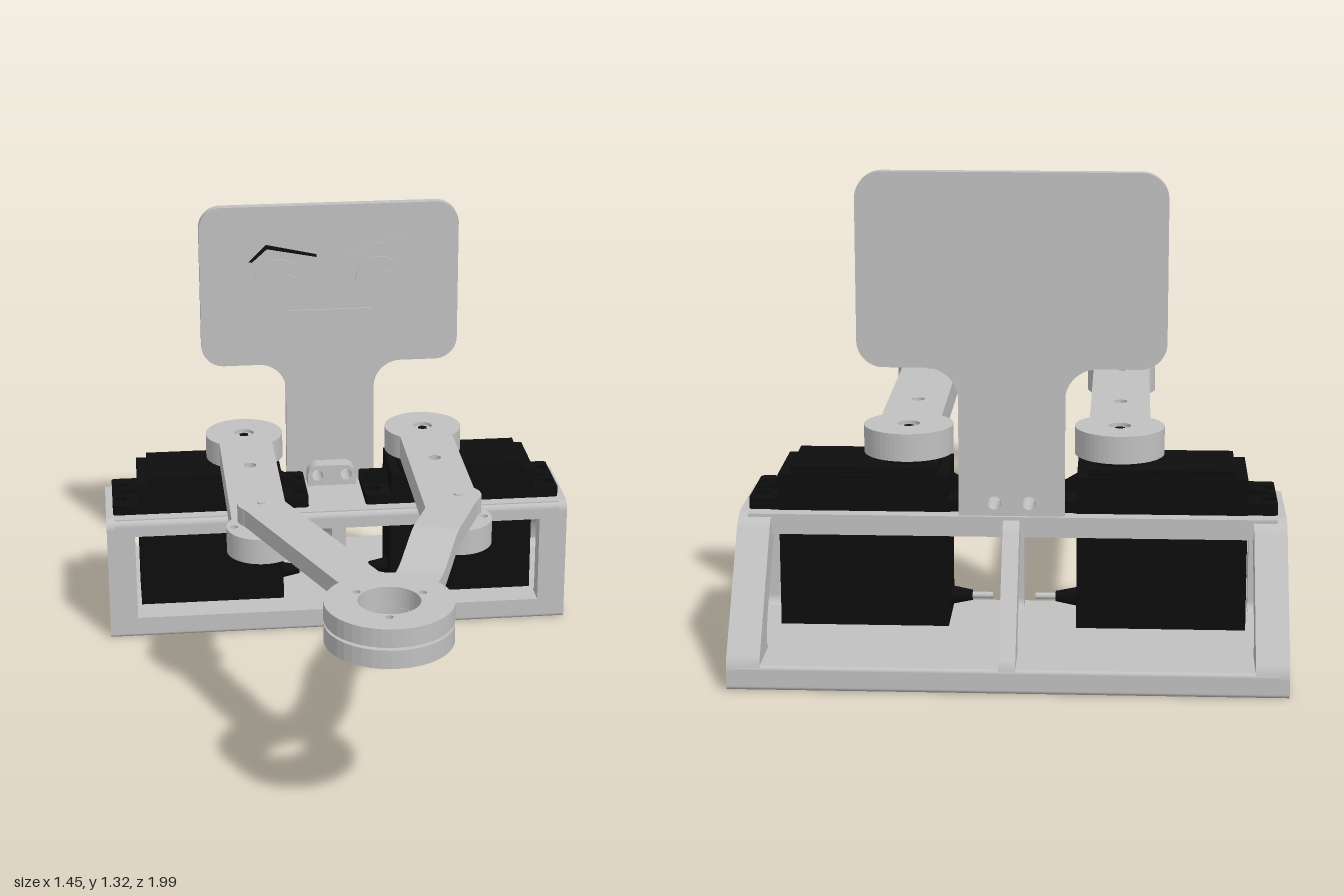
import * as THREE from 'three';

const gray = new THREE.MeshStandardMaterial({ color: 0xc0c0c0 });
gray.name = 'light gray plastic';
const black = new THREE.MeshStandardMaterial({ color: 0x0d0d0d });
black.name = 'black plastic';

function add(parent, name, geo, mat, x = 0, y = 0, z = 0) {
  const m = new THREE.Mesh(geo, mat);
  m.name = name;
  m.position.set(x, y, z);
  parent.add(m);
  return m;
}

function box(parent, name, mat, x0, x1, y0, y1, z0, z1) {
  return add(parent, name, new THREE.BoxGeometry(x1 - x0, y1 - y0, z1 - z0), mat,
    (x0 + x1) / 2, (y0 + y1) / 2, (z0 + z1) / 2);
}

// Closed outline from [x, y, cornerRadius] points
function outline(pts, PathType = THREE.Shape) {
  const path = new PathType();
  const v = pts.map(p => new THREE.Vector2(p[0], p[1]));
  pts.forEach((p, i) => {
    const r = p[2] || 0;
    const toward = q => v[i].clone().add(q.clone().sub(v[i]).setLength(r));
    const a = toward(v[(i + v.length - 1) % v.length]);
    const b = toward(v[(i + 1) % v.length]);
    if (i === 0) path.moveTo(a.x, a.y); else path.lineTo(a.x, a.y);
    if (r) {
      const k = 0.55;
      const c1 = a.clone().lerp(v[i], k), c2 = b.clone().lerp(v[i], k);
      path.bezierCurveTo(c1.x, c1.y, c2.x, c2.y, b.x, b.y);
    }
  });
  path.closePath();
  return path;
}

const rect = (x0, x1, y0, y1, r = 0) => [[x0, y0, r], [x1, y0, r], [x1, y1, r], [x0, y1, r]];
const circle = (x, y, r) => new THREE.Path().absarc(x, y, r, 0, Math.PI * 2, true);
const disc = (r, h, n = 40) => new THREE.CylinderGeometry(r, r, h, n);

function extrude(shape, depth) {
  return new THREE.ExtrudeGeometry(shape, { depth, bevelEnabled: false, curveSegments: 20 });
}
// Shape drawn as (x, z), standing from y0 to y1
const plan = (shape, y0, y1) => extrude(shape, y1 - y0).rotateX(Math.PI / 2).translate(0, y1, 0);
// Shape drawn as (-z, y), running from x0 to x1
const side = (shape, x0, x1) => extrude(shape, x1 - x0).rotateY(Math.PI / 2).translate(x0, 0, 0);
// Shape drawn as (x, y), running from z0 to z1
const front = (shape, z0, z1) => extrude(shape, z1 - z0).translate(0, 0, z0);

function ring(outer, inner, y0, y1, holeRadius) {
  const s = new THREE.Shape().absarc(0, 0, outer, 0, Math.PI * 2);
  s.holes.push(circle(0, 0, inner));
  if (holeRadius) for (let i = 0; i < 3; i++) {
    const a = -Math.PI / 2 + i * Math.PI * 2 / 3;
    s.holes.push(circle(0.1 * Math.cos(a), 0.1 * Math.sin(a), holeRadius));
  }
  return plan(s, y0, y1);
}

function makeBase() {
  const g = new THREE.Group();
  g.name = 'base';
  // End walls and the middle divider share one windowed profile
  for (const [x0, x1] of [[-0.725, -0.638], [-0.022, 0.022], [0.638, 0.725]]) {
    const s = outline([[0.435, 0, 0.012], [1, 0, 0.012], [1, 0.07, 0.02], [0.75, 0.4, 0.04], [0.435, 0.4, 0.03]]);
    s.holes.push(outline([[0.493, 0.062, 0.03], [0.868, 0.062, 0.04], [0.868, 0.12, 0.05],
      [0.7, 0.345, 0.05], [0.493, 0.345, 0.03]], THREE.Path));
    add(g, 'baseWall', side(s, x0, x1), gray);
  }
  const floor = outline([[0.435, 0, 0.012], [1, 0, 0.012], [1, 0.066, 0.01], [0.435, 0.066]]);
  add(g, 'floor', side(floor, -0.7, 0.7), gray);
  // Top deck with a cut-out for each servo
  const deck = outline(rect(-0.7, 0.7, -0.745, -0.445));
  for (const s of [-1, 1]) {
    deck.holes.push(outline(rect(s * 0.395 - 0.23, s * 0.395 + 0.23, -0.706, -0.488), THREE.Path));
  }
  add(g, 'deck', plan(deck, 0.345, 0.4), gray);
  const rail = outline([[0.435, 0.345], [0.46, 0.345], [0.46, 0.4], [0.435, 0.4, 0.022]]);
  add(g, 'frontRail', side(rail, -0.7, 0.7), gray);
  return g;
}

function makeServo(s) {
  const g = new THREE.Group();
  g.name = s > 0 ? 'leftServo' : 'rightServo';
  const span = (a, b) => [Math.min(s * a, s * b), Math.max(s * a, s * b)];
  const part = (name, a, b, y0, y1, z0, z1) => box(g, name, black, ...span(a, b), y0, y1, z0, z1);
  part('servoBody', 0.171, 0.623, 0.08, 0.45, -0.702, -0.504);
  part('servoCase', 0.171, 0.623, 0.43, 0.5, -0.71, -0.48);
  part('servoCap', 0.2, 0.59, 0.5, 0.52, -0.7, -0.49);
  // Mounting flange with four screw holes
  const f = outline(rect(...span(0.09, 0.703), -0.705, -0.48, 0.012));
  for (const x of [0.12, 0.677]) for (const z of [-0.65, -0.54]) f.holes.push(circle(s * x, z, 0.021));
  add(g, 'flange', plan(f, 0.401, 0.432), black);
  const rib = outline([[s * 0.095, 0.425], [s * 0.7, 0.425], [s * 0.7, 0.435], [s * 0.62, 0.455],
    [s * 0.62, 0.48], [s * 0.175, 0.48], [s * 0.095, 0.432]]);
  add(g, 'flangeRib', front(rib, -0.615, -0.575), black);
  add(g, 'outputBoss', disc(0.075, 0.03), black, s * 0.283, 0.53, -0.598);
  // Cable strain relief and wire
  const relief = new THREE.CylinderGeometry(0.014, 0.026, 0.06, 16).rotateZ(s * Math.PI / 2);
  add(g, 'strainRelief', relief, black, s * 0.143, 0.135, -0.6);
  add(g, 'wire', new THREE.CylinderGeometry(0.009, 0.009, 0.06, 12).rotateZ(Math.PI / 2), gray, s * 0.088, 0.135, -0.6);
  return g;
}

function makeUpperArm(s) {
  const g = new THREE.Group();
  g.name = s > 0 ? 'leftUpperArm' : 'rightUpperArm';
  g.position.x = s * 0.283;
  const head = -0.598, elbow = 0.138, half = 0.082;
  const a = Math.asin(half / 0.12), b = Math.asin(half / 0.1);
  const shape = new THREE.Shape();
  shape.absarc(0, head, 0.12, Math.PI / 2 + a, Math.PI * 2.5 - a);
  shape.absarc(0, elbow, 0.1, -Math.PI / 2 + b, Math.PI * 1.5 - b);
  shape.holes.push(circle(0, head, 0.03), circle(0, -0.325, 0.019));
  for (const [x, z] of [[-0.078, 0], [0.078, 0], [0, -0.078]]) shape.holes.push(circle(x, elbow + z, 0.011));
  add(g, 'armLink', plan(shape, 0.54, 0.615), gray);
  // Horn screw sunk into the head
  add(g, 'hornScrew', disc(0.029, 0.06), gray, 0, 0.575, head);
  add(g, 'screwSocket', disc(0.015, 0.008, 6), black, 0, 0.605, head);
  add(g, 'elbowPin', disc(0.035, 0.05), gray, 0, 0.625, elbow);
  return g;
}

function makeForearm(s, drop) {
  const g = new THREE.Group();
  g.name = s > 0 ? 'leftForearm' : 'rightForearm';
  const dx = -s * 0.283, dz = 0.682, len = Math.hypot(dx, dz);
  g.position.set(s * 0.283, 0, 0.138);
  g.rotation.y = Math.atan2(-dz, dx);
  const y0 = 0.635, y1 = 0.687, w = 0.064, end = len - 0.11;
  add(g, 'forearmElbow', disc(0.068, y1 - y0), gray, 0, (y0 + y1) / 2, 0);
  // Bar, stepped down where it passes under the other forearm
  const bar = outline([[0, y0], [0.25, y0, 0.03], [0.4, y0 - drop, 0.03], [end, y0 - drop],
    [end, y1 - drop], [0.41, y1 - drop, 0.03], [0.26, y1, 0.03], [0, y1]]);
  add(g, 'forearmBar', front(bar, -w, w), gray);
  add(g, 'wristRing', ring(0.172, 0.083, y0 - drop, y1 - drop, drop ? 0 : 0.011), gray, len, 0, 0);
  add(g, 'elbowScrew', disc(0.012, 0.004, 16), gray, 0, y1 + 0.002, 0);
  return g;
}

function makeHead() {
  const g = new THREE.Group();
  g.name = 'head';
  const plate = outline([[-0.14, 0.4], [0.14, 0.4], [0.14, 0.8, 0.085], [0.405, 0.8, 0.07], [0.405, 1.315, 0.07],
    [-0.405, 1.315, 0.07], [-0.405, 0.8, 0.07], [-0.14, 0.8, 0.085]]);
  const tab = outline([[-0.077, 0.4], [0.077, 0.4], [0.077, 0.468, 0.035], [-0.077, 0.468, 0.035]]);
  for (const s of [plate, tab]) s.holes.push(circle(-0.046, 0.435, 0.018), circle(0.046, 0.435, 0.018));
  add(g, 'facePlate', front(plate, -0.735, -0.705), gray);
  add(g, 'mountTab', front(tab, -0.705, -0.655), gray);

  // Face details as thin plates
  const detail = (name, shape, mat = gray, t = 0.004) => add(g, name, front(shape, -0.705, -0.705 + t), mat);
  const halfDisc = (x, y, r) => new THREE.Shape().absarc(x, y, r, 0, Math.PI);
  for (const x of [-0.16, 0.157]) {
    detail('eye', halfDisc(x, 1.07, 0.075));
    detail('pupil', halfDisc(x + 0.033, 1.07, 0.026), gray, 0.007);
  }
  detail('rightEyebrow', outline([[-0.252, 1.14], [-0.242, 1.138], [-0.195, 1.18], [-0.04, 1.15],
    [-0.04, 1.158], [-0.197, 1.193]]), black);
  detail('leftEyebrow', outline([[0.05, 1.155], [0.253, 1.206], [0.25, 1.219]]));
  detail('mouth', outline(rect(-0.137, 0.135, 0.962, 0.978, 0.005)));
  detail('tongue', outline([[0.062, 0.962], [0.062, 0.921, 0.024], [0.112, 0.921, 0.024], [0.112, 0.962]]));
  return g;
}

export function createModel() {
  const model = new THREE.Group();
  model.name = 'twoArmLinkageRobot';
  model.add(makeBase(), makeHead());
  for (const s of [-1, 1]) {
    model.add(makeServo(s), makeUpperArm(s), makeForearm(s, s > 0 ? 0.06 : 0));
  }
  // Bearing spacer between the two wrist rings
  add(model, 'wristBearing', ring(0.12, 0.084, 0.572, 0.64), gray, 0, 0, 0.82);
  return model;
}
